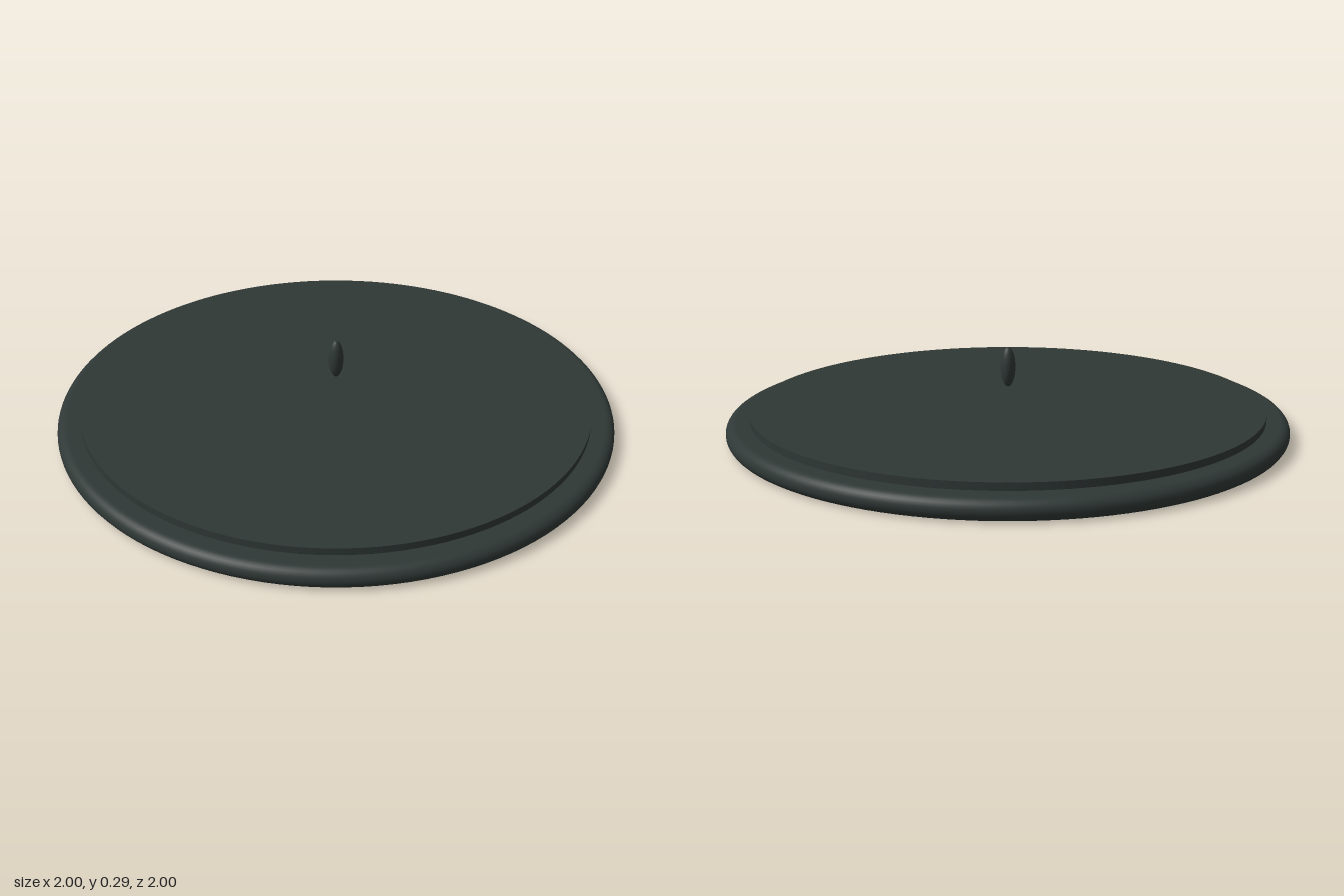
import * as THREE from 'three';

export function createModel() {
  const model = new THREE.Group();
  const darkSlate = new THREE.MeshStandardMaterial({ color: 0x2f3836 });
  darkSlate.name = 'darkSlate';

  function add(name, geometry, y) {
    const mesh = new THREE.Mesh(geometry, darkSlate);
    mesh.name = name;
    mesh.position.y = y;
    model.add(mesh);
  }

  // Base plate: flat faces with a fully rounded rim
  const r = 0.035;
  const profile = [new THREE.Vector2(0, 0), new THREE.Vector2(0.95, 0)];
  for (let i = 0; i <= 14; i++) {
    const a = -Math.PI / 2 + (Math.PI * i) / 14;
    profile.push(new THREE.Vector2(1 - r + r * Math.cos(a), r + r * Math.sin(a)));
  }
  profile.push(new THREE.Vector2(0.9, 2 * r), new THREE.Vector2(0, 2 * r));
  add('basePlate', new THREE.LatheGeometry(profile, 128), 0);

  // Raised disc on the plate
  add('raisedDisc', new THREE.CylinderGeometry(0.917, 0.917, 0.045, 128), 0.0725);

  // Slender ellipsoid floating above the centre
  const bead = new THREE.SphereGeometry(1, 32, 24);
  bead.scale(0.027, 0.073, 0.027);
  add('floatingBead', bead, 0.218);

  return model;
}
